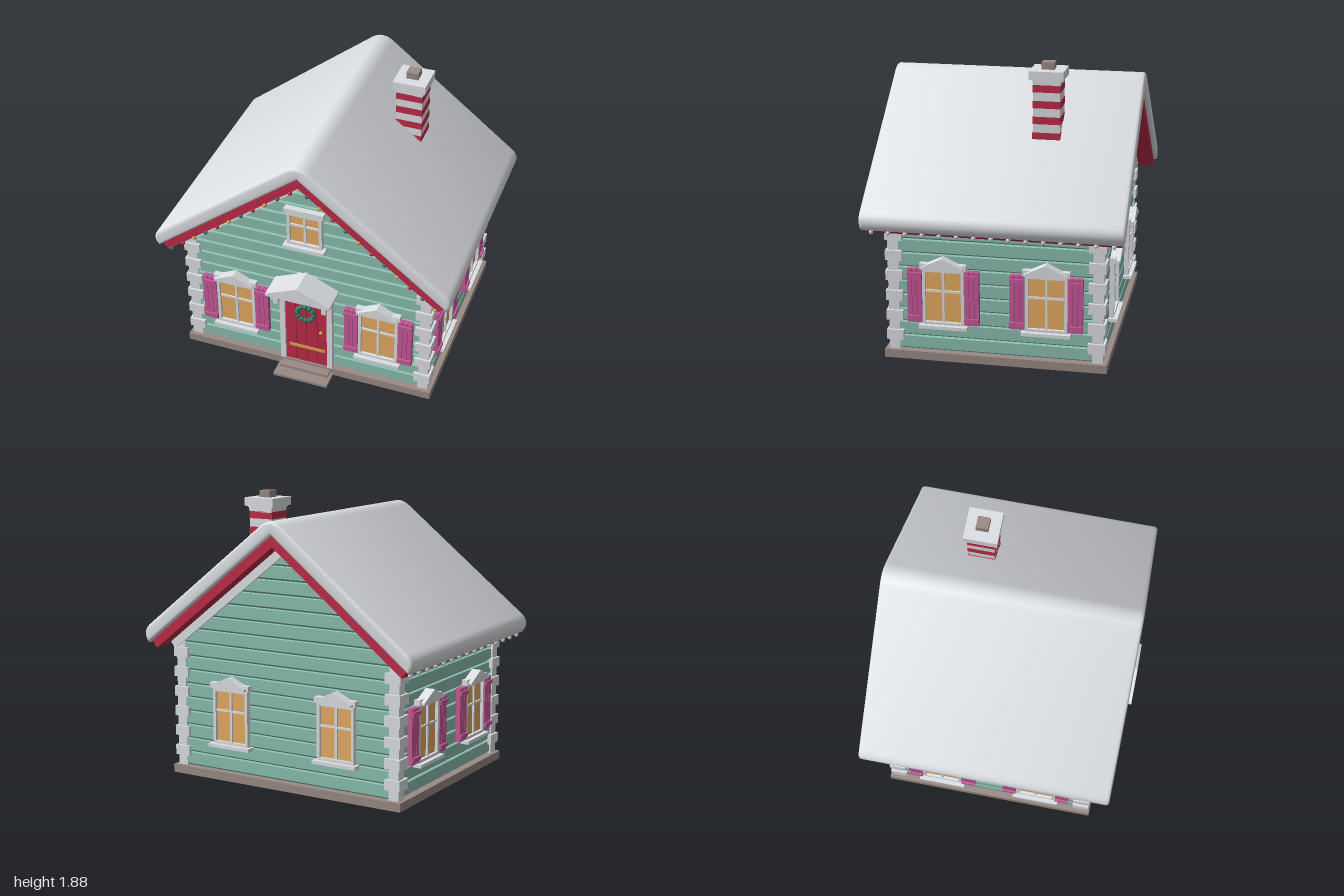
import * as THREE from 'three';
import { toCreasedNormals } from 'three/addons/utils/BufferGeometryUtils.js';

const paint = (name, hex) => {
  const m = new THREE.MeshStandardMaterial({ color: hex });
  m.name = name;
  return m;
};
const MAT = {
  white: paint('snow white', 0xdde0e4),
  mint: paint('mint siding', 0x8cbfb0),
  red: paint('red', 0xbe2c48),
  pink: paint('shutter pink', 0xc9599a),
  amber: paint('window glow', 0xe6ac62),
  gold: paint('gold', 0xd9a64e),
  stone: paint('brown stone', 0x9a8a85),
  green: paint('wreath green', 0x2f7565),
};
const WALL_X = 0.81, WALL_Z = 0.665, BASE = 0.055, SLOPE = 0.79;

function add(parent, name, geometry, material, x = 0, y = 0, z = 0) {
  const m = new THREE.Mesh(geometry, material);
  m.name = name;
  m.position.set(x, y, z);
  parent.add(m);
  return m;
}
// Box given by its extents: x0..x1, y0..y1, z0..z1
function block(parent, name, mat, x0, x1, y0, y1, z0, z1) {
  return add(parent, name, new THREE.BoxGeometry(x1 - x0, y1 - y0, z1 - z0), mat,
    (x0 + x1) / 2, (y0 + y1) / 2, (z0 + z1) / 2);
}
function shape(points) {
  return new THREE.Shape(points.map(([x, y]) => new THREE.Vector2(x, y)));
}
// Outline extruded from z0 to z1
function prism(parent, name, mat, outline, z0, z1) {
  const g = new THREE.ExtrudeGeometry(outline, { depth: z1 - z0, bevelEnabled: false });
  return add(parent, name, g, mat, 0, 0, z0);
}
// Inverted V with ridge heights top and bottom, ends cut square to the slope
function chevron(top, bottom, end) {
  const inner = end - (top - bottom) * 0.486;
  return shape([[0, top], [-end, top - SLOPE * end], [-inner, bottom - SLOPE * inner],
    [0, bottom], [inner, bottom - SLOPE * inner], [end, top - SLOPE * end]]);
}

// Stacked boards with a bevelled lower edge; half-width depends on height
function siding(parent, count, halfWidth) {
  const pitch = 0.093;
  for (let i = 0; i < count; i++) {
    const y = BASE + i * pitch;
    const profile = shape([[0, y], [0.02, y + 0.014], [0.02, y + pitch - 0.004], [0, y + pitch]]);
    const g = new THREE.ExtrudeGeometry(profile, { depth: 1, bevelEnabled: false });
    const p = g.attributes.position;
    for (let k = 0; k < p.count; k++) {
      const depth = p.getX(k), h = p.getY(k);
      p.setXYZ(k, (0.5 - p.getZ(k)) * 2 * halfWidth(h), h, depth);
    }
    g.computeVertexNormals();
    add(parent, 'sidingBoard', g, MAT.mint);
  }
}

function shutter(parent, x) {
  const g = new THREE.Group();
  g.name = 'shutter';
  for (const i of [-1, 0, 1]) {
    block(g, 'shutterPlank', MAT.pink, i * 0.032 - 0.0145, i * 0.032 + 0.0145, 0.01, 0.37, 0.015, 0.052);
  }
  for (const y of [0.045, 0.335]) block(g, 'shutterBar', MAT.pink, -0.047, 0.047, y - 0.013, y + 0.013, 0.05, 0.064);
  g.position.x = x;
  parent.add(g);
}

// Window on a wall facing local +z, origin at the bottom middle of its frame
function windowUnit(parent, x, y, w, h, { pediment = true, shutters = false } = {}) {
  const g = new THREE.Group();
  g.name = 'window';
  g.position.set(x, y, 0);
  const a = w / 2, t = 0.02;
  const frame = shape([[-a, 0], [a, 0], [a, h], [-a, h]]);
  frame.holes.push(shape([[-a + t, t], [-a + t, h - t], [a - t, h - t], [a - t, t]]));
  prism(g, 'windowFrame', MAT.white, frame, 0, 0.05);
  block(g, 'windowGlass', MAT.amber, -a + t, a - t, t, h - t, 0.022, 0.03);
  block(g, 'windowMullion', MAT.white, -0.008, 0.008, t, h - t, 0.028, 0.042);
  const bar = h * 0.6;
  block(g, 'windowCrossbar', MAT.white, -a + t, a - t, bar - 0.007, bar + 0.007, 0.028, 0.04);
  block(g, 'windowSill', MAT.white, -a - 0.022, a + 0.022, -0.02, 0.002, 0, 0.078);
  block(g, 'windowHeader', MAT.white, -a - 0.015, a + 0.015, h, h + 0.036, 0, 0.06);
  if (pediment) {
    prism(g, 'windowPediment', MAT.white,
      shape([[-a, h + 0.005], [a, h + 0.005], [a, h + 0.018], [0, h + 0.083], [-a, h + 0.018]]), 0, 0.086);
  }
  if (shutters) for (const s of [-1, 1]) shutter(g, s * (a + 0.05));
  parent.add(g);
}

function door(parent) {
  const g = new THREE.Group();
  g.name = 'door';
  for (let i = 0; i < 4; i++) {
    block(g, 'doorPlank', MAT.red, -0.148 + i * 0.074 + 0.002, -0.148 + (i + 1) * 0.074 - 0.002, BASE, 0.68, 0, 0.04);
  }
  block(g, 'doorBack', MAT.red, -0.148, 0.148, BASE, 0.68, 0, 0.03);
  for (const y of [0.185, 0.57]) block(g, 'doorHinge', MAT.gold, -0.125, 0.13, y - 0.011, y + 0.011, 0.038, 0.046);
  add(g, 'doorKnob', new THREE.SphereGeometry(0.012, 12, 8), MAT.gold, 0.105, 0.355, 0.052);
  // Wreath
  add(g, 'wreathRing', new THREE.TorusGeometry(0.056, 0.012, 8, 24), MAT.green, 0, 0.5, 0.055);
  for (let i = 0; i < 12; i++) {
    const a = i * Math.PI / 6;
    add(g, 'wreathLeaf', new THREE.IcosahedronGeometry(0.018, 1), MAT.green,
      0.057 * Math.cos(a), 0.5 + 0.057 * Math.sin(a), 0.058);
  }
  // Posts, brackets and canopy
  for (const s of [-1, 1]) {
    const x = s * 0.165;
    block(g, 'doorPost', MAT.white, x - 0.018, x + 0.018, BASE, 0.7, 0, 0.055);
    block(g, 'canopyBracket', MAT.white, x - 0.015, x + 0.015, 0.63, 0.71, 0, 0.165);
  }
  block(g, 'doorHeader', MAT.white, -0.183, 0.183, 0.68, 0.715, 0, 0.165);
  prism(g, 'doorCanopy', MAT.white,
    shape([[-0.22, 0.71], [0.22, 0.71], [0.22, 0.728], [0, 0.825], [-0.22, 0.728]]), 0, 0.2);
  parent.add(g);
}

function chimney(parent) {
  const g = new THREE.Group();
  g.name = 'chimney';
  g.position.set(0.395, 0, -0.26);
  const tier = (name, mat, w, y0, y1) => block(g, name, mat, -w / 2, w / 2, y0, y1, -w / 2, w / 2);
  for (let i = 0; i < 5; i++) {
    const y = 1.29 + i * 0.102;
    tier('chimneyRedBand', MAT.red, 0.178, y, y + 0.047);
    tier('chimneyWhiteBand', MAT.white, 0.172, y + 0.047, y + 0.102);
  }
  tier('chimneyNeck', MAT.white, 0.178, 1.74, 1.775);
  tier('chimneyLedge', MAT.white, 0.19, 1.77, 1.8);
  tier('chimneyCap', MAT.white, 0.22, 1.78, 1.835);
  tier('chimneyPot', MAT.stone, 0.08, 1.835, 1.88);
  parent.add(g);
}

function roof(parent) {
  // Thick snow blanket with rounded ridge and eaves
  const s = new THREE.Shape();
  s.moveTo(0, 1.66);
  s.lineTo(0.973, 0.891);
  s.quadraticCurveTo(1.03, 0.96, 0.965, 1.016);
  s.lineTo(0.08, 1.715);
  s.quadraticCurveTo(0, 1.778, -0.08, 1.715);
  s.lineTo(-0.965, 1.016);
  s.quadraticCurveTo(-1.03, 0.96, -0.973, 0.891);
  s.closePath();
  const snow = new THREE.ExtrudeGeometry(s, {
    depth: 1.62, curveSegments: 10, bevelEnabled: true,
    bevelThickness: 0.02, bevelSize: 0.02, bevelOffset: -0.02, bevelSegments: 3,
  });
  add(parent, 'roofSnow', toCreasedNormals(snow, 0.7), MAT.white, 0, 0, -0.81);
  prism(parent, 'roofDeck', MAT.red, chevron(1.685, 1.585, 0.965), -0.805, 0.805);
  for (const z of [-0.7, 0.67]) prism(parent, 'gableTrim', MAT.white, chevron(1.6, 1.515, 0.89), z, z + 0.03);
  // Coloured bulbs on the front gable, white drops along the eaves
  const bulb = new THREE.SphereGeometry(0.014, 10, 8);
  const colours = [MAT.red, MAT.green, MAT.gold];
  for (const side of [-1, 1]) {
    for (let i = 0; i < 11; i++) {
      const x = 0.055 + i * 0.084;
      add(parent, 'gableBulb', bulb, colours[(i + (side > 0 ? 1 : 0)) % 3], side * x, 1.578 - SLOPE * x, 0.8);
    }
    for (let i = 0; i < 15; i++) {
      add(parent, 'eaveDrop', bulb, MAT.white, side * 0.952, 0.876, -0.76 + i * 0.1086).scale.y = 1.2;
    }
  }
}

export function createModel() {
  const model = new THREE.Group();
  model.name = 'cottage';
  const house = new THREE.Group();
  house.name = 'house';
  house.position.z = -0.015;
  model.add(house);

  // Base and steps
  block(house, 'foundation', MAT.stone, -0.865, 0.865, 0, BASE, -0.718, 0.718);
  block(house, 'upperStep', MAT.stone, -0.17, 0.17, 0, 0.04, 0.7, 0.775);
  block(house, 'lowerStep', MAT.stone, -0.19, 0.19, 0, 0.02, 0.7, 0.85);

  // Wall core
  prism(house, 'wallCore', MAT.mint, shape([[-WALL_X, BASE], [WALL_X, BASE], [WALL_X, 0.98], [0, 1.62],
    [-WALL_X, 0.98]]), -WALL_Z, WALL_Z);

  // Walls, each built facing +z and turned into place
  const gable = (y) => Math.max(0.01, Math.min(WALL_X, (1.6 - y) / SLOPE));
  const walls = ['front', 'right', 'back', 'left'].map((side, i) => {
    const wall = new THREE.Group();
    wall.name = ['frontWall', 'leftWall', 'backWall', 'rightWall'][i];
    const a = i * Math.PI / 2, d = i % 2 ? WALL_X : WALL_Z;
    wall.rotation.y = a;
    wall.position.set(Math.sin(a) * d, 0, Math.cos(a) * d);
    if (i % 2) siding(wall, 10, () => WALL_Z);
    else siding(wall, 16, gable);
    const at = [0.497, 0.33, 0.4, 0.33][i];
    for (const s of [-1, 1]) windowUnit(wall, s * at, 0.245, 0.27, 0.375, { shutters: i !== 2 });
    house.add(wall);
    return wall;
  });
  windowUnit(walls[0], 0, 1.06, 0.235, 0.25, { pediment: false });
  door(walls[0]);

  // Corner stones, alternately long and short
  for (const sx of [-1, 1]) for (const sz of [-1, 1]) for (let i = 0; i < 13; i++) {
    const big = i % 2, size = big ? 0.11 : 0.07, out = big ? 0 : 0.014;
    add(house, 'cornerStone', new THREE.BoxGeometry(size, 0.067, size), MAT.white,
      sx * (0.855 - out - size / 2), BASE + 0.0335 + i * 0.067, sz * (0.705 - out - size / 2));
  }

  roof(house);
  chimney(house);
  return model;
}
